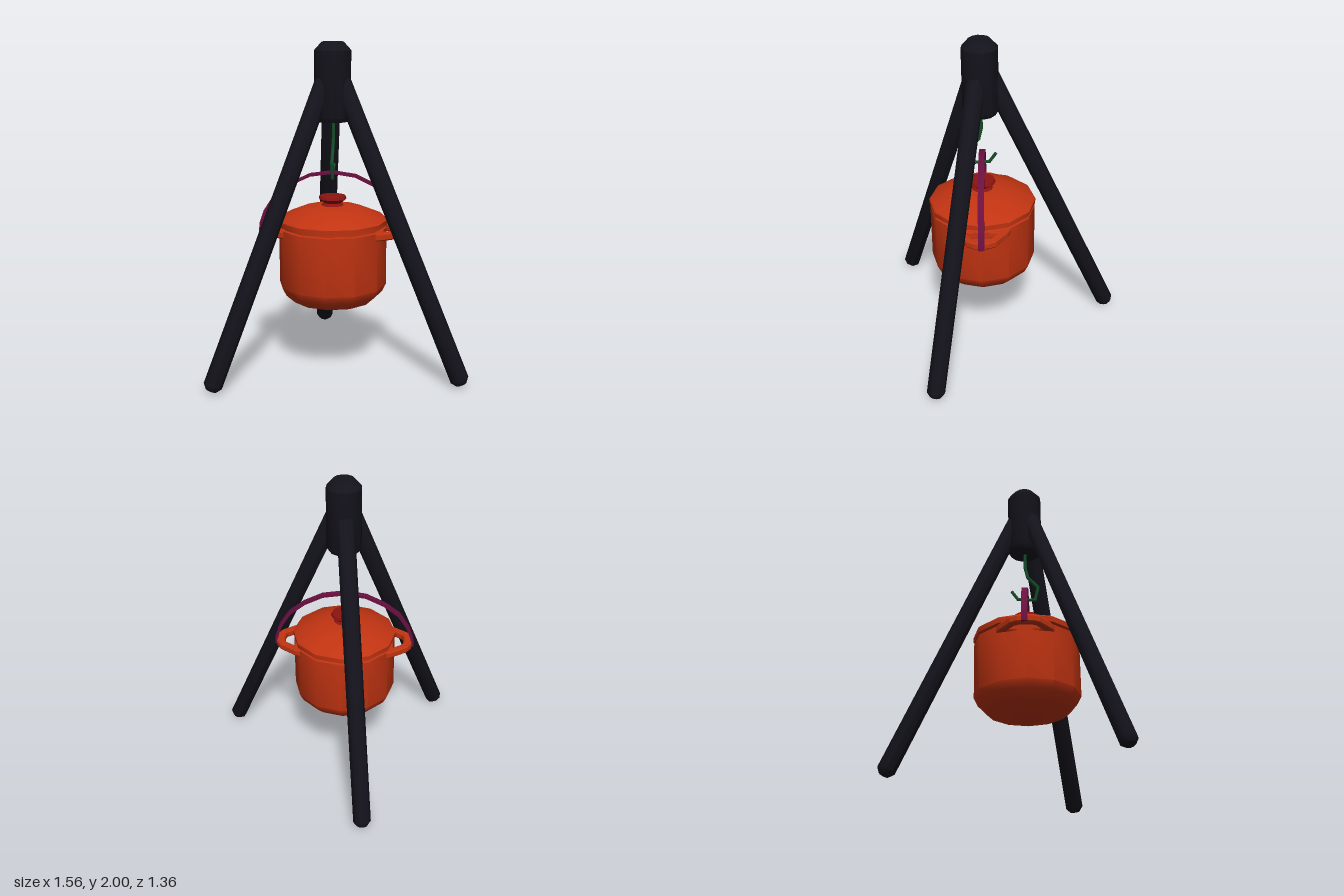
import * as THREE from 'three';
import { toCreasedNormals } from 'three/addons/utils/BufferGeometryUtils.js';

const paint = (color) => new THREE.MeshStandardMaterial({ color });
const iron = paint(0x14131c);
const enamel = paint(0xc23412);
const knobRed = paint(0x8e1410);
const purple = paint(0x6a1040);
const green = paint(0x16502a);

const CENTRE_Z = 0.21;

function part(name, geometry, material) {
  const mesh = new THREE.Mesh(geometry, material);
  mesh.name = name;
  return mesh;
}

// Turned part from [radius, y] pairs, listed bottom to top
function turned(name, profile, sides, material, crease = 0.62) {
  const pts = profile.map(([r, y]) => new THREE.Vector2(r, y));
  return part(name, toCreasedNormals(new THREE.LatheGeometry(pts, sides), crease), material);
}

const UP = new THREE.Vector3(0, 1, 0);

// Points a mesh that runs along +y from a towards b
function aim(mesh, a, b) {
  mesh.position.copy(a);
  mesh.quaternion.setFromUnitVectors(UP, b.clone().sub(a).normalize());
  return mesh;
}

function shapeFrom(points) {
  return new THREE.Shape(points.map(([x, y]) => new THREE.Vector2(x, y)));
}

// Completes a half outline with its mirror image across the given axis
const mirrorY = (half) => [...half, ...half.map(([x, y]) => [x, -y]).reverse()];
const mirrorX = (half) => [...half, ...half.slice(0, -1).map(([x, y]) => [-x, y]).reverse()];

function buildTripod() {
  const tripod = new THREE.Group();
  tripod.name = 'tripod';
  tripod.add(turned('hub', [
    [0, 1.53], [0.095, 1.53], [0.11, 1.555], [0.11, 1.95], [0.065, 2], [0, 2],
  ], 12, iron));

  // Three splayed legs with chamfered feet
  for (let i = 0; i < 3; i++) {
    const a = Math.PI / 6 + (i * Math.PI * 2) / 3;
    const foot = new THREE.Vector3(Math.cos(a) * 0.85, 0.013, Math.sin(a) * 0.85);
    const top = new THREE.Vector3(0, 1.9, 0);
    const length = foot.distanceTo(top);
    const leg = turned('leg', [
      [0, 0], [0.032, 0], [0.056, 0.03], [0.056, length - 0.03], [0.032, length], [0, length],
    ], 8, iron, 0.8);
    tripod.add(aim(leg, foot, top));
  }
  return tripod;
}

function buildHook() {
  const hook = new THREE.Group();
  hook.name = 'hook';
  const path = [
    [0.005, 1.56, 0], [0.005, 1.43, 0], [0, 1.36, 0.015], [-0.01, 1.285, 0.08],
    [-0.005, 1.197, 0.06], [0, 1.197, -0.05], [0.015, 1.255, -0.085],
  ].map((p) => new THREE.Vector3(...p));
  for (let i = 0; i < path.length - 1; i++) {
    const length = path[i].distanceTo(path[i + 1]) + 0.004;
    const rod = new THREE.CylinderGeometry(0.011, 0.011, length, 6).translate(0, length / 2, 0);
    hook.add(aim(part('hookRod', rod, green), path[i], path[i + 1]));
  }
  return hook;
}

function buildPot() {
  const pot = new THREE.Group();
  pot.name = 'pot';
  pot.add(turned('potBody', [
    [0, 0.395], [0.15, 0.397], [0.25, 0.43], [0.305, 0.48], [0.33, 0.53],
    [0.33, 0.885], [0.30, 0.89], [0, 0.89],
  ], 12, enamel));
  pot.add(turned('lid', [
    [0, 0.885], [0.31, 0.885], [0.31, 0.9], [0.333, 0.903], [0.335, 0.935],
    [0.32, 0.947], [0.185, 1.003], [0.1, 1.018], [0, 1.02],
  ], 12, enamel));
  pot.add(turned('knob', [
    [0, 1.0], [0.075, 1.01], [0.055, 1.035], [0.085, 1.06], [0.08, 1.077], [0, 1.082],
  ], 12, knobRed, 0.9));

  // Flat loop handles on both sides
  const outline = shapeFrom(mirrorY([[0.28, -0.17], [0.31, -0.155], [0.41, -0.085], [0.433, -0.045]]));
  outline.holes.push(shapeFrom(mirrorY([[0.315, -0.11], [0.38, -0.065], [0.393, -0.035]])));
  const loop = new THREE.ExtrudeGeometry(outline, {
    depth: 0.03, bevelEnabled: true, bevelThickness: 0.008, bevelSize: 0.006, bevelSegments: 1,
  }).rotateX(Math.PI / 2);
  for (const side of [0, 1]) {
    const handle = part(side ? 'rightHandle' : 'leftHandle', loop, enamel);
    handle.position.y = 0.877;
    handle.rotation.y = side * Math.PI;
    pot.add(handle);
  }

  // Strap bail arching over the lid
  const outer = mirrorX([
    [0.455, 0.84], [0.45, 0.9], [0.422, 0.98], [0.36, 1.075], [0.26, 1.152], [0.14, 1.21], [0, 1.23],
  ]);
  const inner = mirrorX([
    [0.437, 0.84], [0.432, 0.9], [0.405, 0.974], [0.347, 1.063], [0.252, 1.137], [0.136, 1.193], [0, 1.213],
  ]);
  const strap = new THREE.ExtrudeGeometry(shapeFrom([...outer, ...inner.reverse()]), {
    depth: 0.038, bevelEnabled: false,
  }).translate(0, 0, -0.019);
  pot.add(part('bail', toCreasedNormals(strap, 0.6), purple));

  pot.rotation.y = -0.18;
  return pot;
}

export function createModel() {
  const model = new THREE.Group();
  model.name = 'campfirePot';
  model.add(buildTripod(), buildHook(), buildPot());
  for (const group of model.children) group.position.z = CENTRE_Z;
  return model;
}
